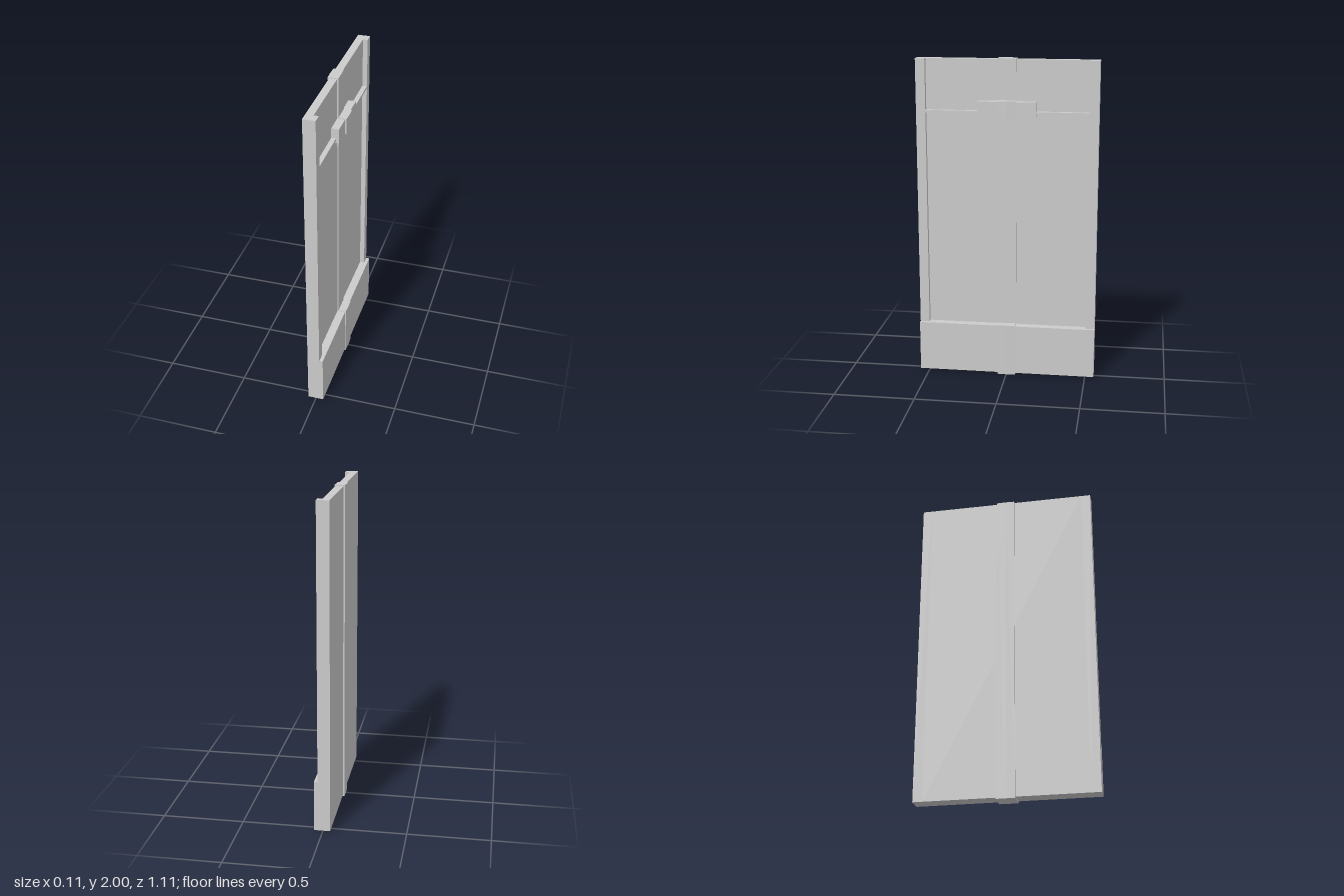
import * as THREE from 'three';

const material = new THREE.MeshStandardMaterial({ color: 0xcccccc, flatShading: true });

export function createModel() {
  const model = new THREE.Group();
  model.name = 'panelDoor';

  const add = (name, geometry) => {
    const mesh = new THREE.Mesh(geometry, material);
    mesh.name = name;
    model.add(mesh);
    return mesh;
  };

  // Box given by its limits on each axis
  const block = (name, [x0, x1], [y0, y1], [z0, z1]) => {
    const mesh = add(name, new THREE.BoxGeometry(x1 - x0, y1 - y0, z1 - z0));
    mesh.position.set((x0 + x1) / 2, (y0 + y1) / 2, (z0 + z1) / 2);
  };

  // Vertical band with faintly peaked front and back faces
  const half = 0.057;
  const band = (name, back, front, peakBack, peakFront, y0, y1) => {
    const shape = new THREE.Shape([
      [back, -half], [front, -half], [front + peakFront, 0],
      [front, half], [back, half], [back - peakBack, 0],
    ].map(([x, z]) => new THREE.Vector2(x, -z)));
    const geometry = new THREE.ExtrudeGeometry(shape, { depth: y1 - y0, bevelEnabled: false });
    geometry.rotateX(-Math.PI / 2);
    geometry.translate(0, y0, 0);
    add(name, geometry);
  };

  const back = -0.047, recess = -0.001, raised = 0.028;
  const width = 0.555, inner = 0.497;

  // Recessed door leaf and its raised border
  block('leaf', [back, recess], [0.01, 1.995], [-inner, inner]);
  for (const side of [-1, 1]) {
    const edges = [side * inner, side * width].sort((a, b) => a - b);
    block(side > 0 ? 'frontStile' : 'rearStile', [back, raised], [0.01, 1.995], edges);
  }
  block('crossRail', [recess, raised], [1.67, 1.685], [-inner, inner]);
  block('kickPlate', [recess, 0.05], [0.01, 0.325], [-width, width]);

  // Push bar at the upper rail
  block('pushBar', [recess, 0.046], [1.655, 1.745], [-0.178, 0.178]);

  // Centre band, wrapping over the kick plate and push bar
  band('centreBand', -0.056, 0.006, 0.002, 0, 0, 2);
  band('kickPlateBand', recess, 0.055, 0, 0.002, 0, 0.33);
  band('pushBarBand', recess, 0.055, 0, 0.002, 1.65, 1.75);

  return model;
}
